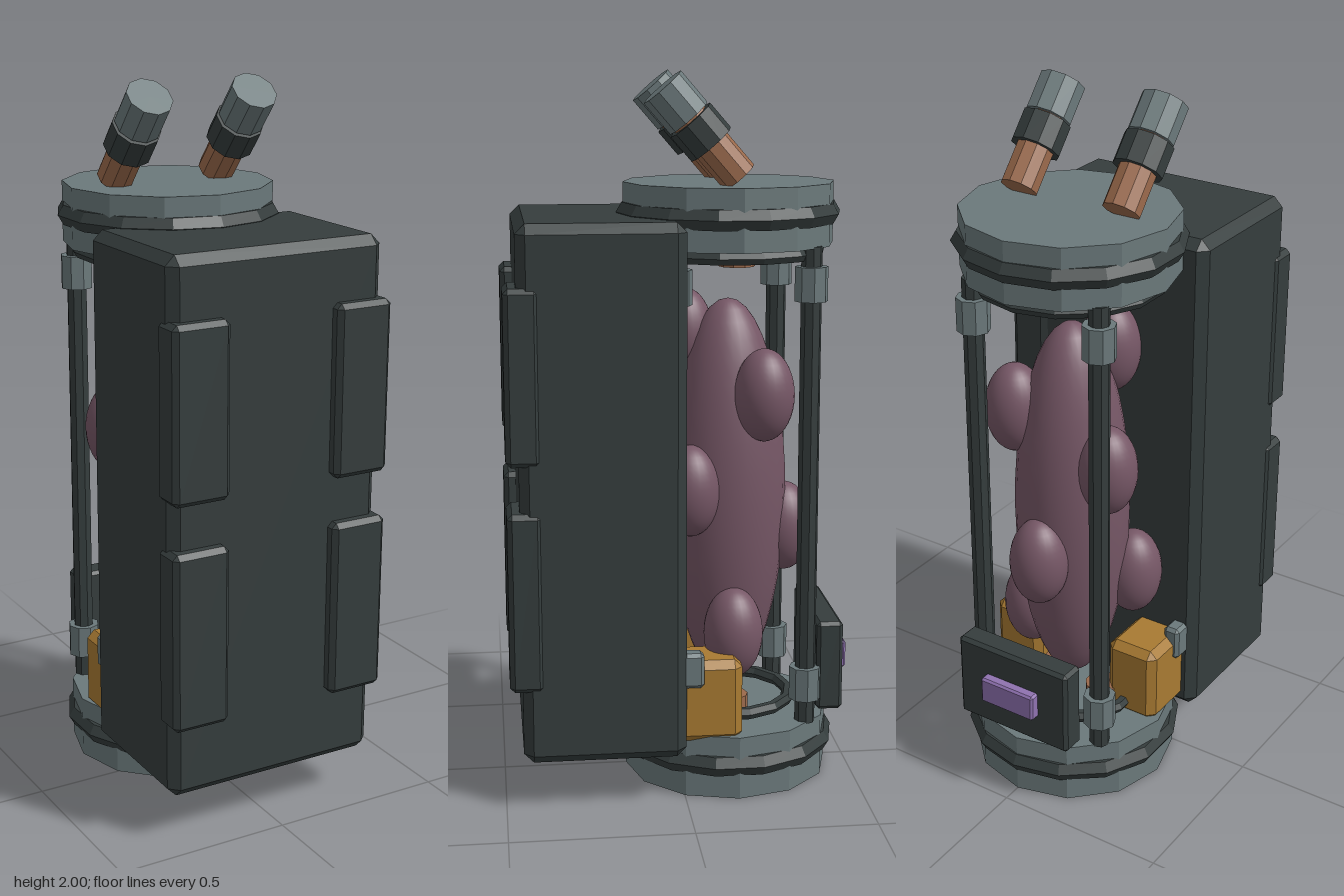
import * as THREE from 'three';
import { ConvexGeometry } from 'three/addons/geometries/ConvexGeometry.js';

const mat = (name, color) => {
  const m = new THREE.MeshStandardMaterial({ color });
  m.name = name;
  return m;
};

// Facet normals for the low-poly parts
const flat = (g) => {
  const f = g.index ? g.toNonIndexed() : g;
  f.computeVertexNormals();
  return f;
};

// Box with every edge chamfered by c
function chamferBox(w, h, d, c) {
  const pts = [];
  const half = [w / 2, h / 2, d / 2];
  for (const sx of [-1, 1]) for (const sy of [-1, 1]) for (const sz of [-1, 1])
    for (let k = 0; k < 3; k++) {
      const p = half.map((v, i) => (i === k ? v : v - c));
      pts.push(new THREE.Vector3(p[0] * sx, p[1] * sy, p[2] * sz));
    }
  return new ConvexGeometry(pts);
}

const cyl = (r, h, n) => flat(new THREE.CylinderGeometry(r, r, h, n));

export function createModel() {
  const model = new THREE.Group();
  model.name = 'specimenTank';
  const dark = mat('darkCasing', 0x353d3d);
  const steel = mat('greySteel', 0x6b797b);
  const copper = mat('copper', 0x9b6a4c);
  const flesh = mat('mauveFlesh', 0x765766);
  const amber = mat('amberBlock', 0xa87a32);
  const violet = mat('violetLight', 0x8f72b0);
  const CZ = -0.15; // tank axis

  const add = (name, geo, material, x, y, z, parent = model) => {
    const m = new THREE.Mesh(geo, material);
    m.name = name;
    m.position.set(x, y, z);
    parent.add(m);
    return m;
  };
  const ring = (name, r, tube, y) => add(name,
    flat(new THREE.TorusGeometry(r, tube, 6, 14).rotateX(Math.PI / 2).rotateY(Math.PI / 2)),
    dark, 0, y, CZ);

  // Tank end caps with their seals
  add('baseCap', cyl(0.295, 0.18, 12), steel, 0, 0.09, CZ);
  add('topCap', cyl(0.295, 0.17, 12), steel, 0, 1.615, CZ);
  ring('baseSeal', 0.282, 0.032, 0.095);
  ring('topSeal', 0.282, 0.032, 1.617);
  ring('innerTopRing', 0.252, 0.019, 1.512);
  ring('innerBaseRing', 0.185, 0.018, 0.208);

  // Large casing and its four front pads
  add('casing', chamferBox(0.64, 1.48, 0.45, 0.027), dark, 0, 0.875, 0.225);
  for (const s of [-1, 1])
    for (const [y, h] of [[1.212, 0.475], [0.597, 0.5]])
      add('casingPad', chamferBox(0.167, h, 0.095, 0.014), dark, s * 0.244, y, 0.437);

  // Four support rods with clamps
  for (let i = 0; i < 4; i++) {
    const a = THREE.MathUtils.degToRad(40 + 90 * i);
    const x = 0.266 * Math.cos(a), z = CZ + 0.266 * Math.sin(a);
    add('rod', cyl(0.029, 1.36, 8), dark, x, 0.855, z);
    for (const y of [0.293, 1.433]) add('rodClamp', cyl(0.046, 0.095, 8), steel, x, y, z);
  }

  // Organic specimen: long body with bulges
  const blob = (name, x, y, z, rx, ry, rz) =>
    add(name, new THREE.SphereGeometry(1, 28, 20), flesh, x, y, CZ + z).scale.set(rx, ry, rz);
  blob('specimenBody', 0, 0.815, 0, 0.16, 0.56, 0.168);
  const bulges = [
    [0.13, 1.12, -0.085], [0.145, 0.44, 0], [0, 0.71, -0.165], [0.12, 0.85, 0.12],
    [-0.15, 0.99, -0.05], [-0.05, 1.27, 0.12], [-0.14, 0.59, 0.1],
  ];
  for (const [x, y, z] of bulges) blob('specimenBulge', x, y, z, 0.084, 0.13, 0.084);

  for (const s of [-1, 1]) {
    // Amber side blocks with steel clips
    add('amberBlock', chamferBox(0.16, 0.235, 0.2, 0.022), amber, s * 0.2, 0.282, -0.06);
    add('blockClip', chamferBox(0.05, 0.1, 0.08, 0.01), steel, s * 0.27, 0.38, -0.01);

    // Copper feeds inside the tank
    add('topFeed', cyl(0.05, 0.07, 10), copper, s * 0.16, 1.518, CZ);
    add('baseFeed', cyl(0.05, 0.07, 10), copper, s * 0.1, 0.205, CZ);

    // Slanted pipe: copper tube, dark collar, steel end
    const pipe = new THREE.Group();
    pipe.name = 'slantedPipe';
    pipe.position.set(s * 0.16, 1.72, -0.155);
    pipe.rotation.x = THREE.MathUtils.degToRad(41);
    model.add(pipe);
    add('pipeTube', cyl(0.052, 0.26, 10), copper, 0, 0.13, 0, pipe);
    add('pipeCollar', cyl(0.069, 0.085, 10), dark, 0, 0.158, 0, pipe);
    add('pipeEnd', cyl(0.065, 0.107, 10), steel, 0, 0.2605, 0, pipe);
  }

  // Rear control box with light
  add('controlBox', chamferBox(0.37, 0.26, 0.075, 0.01), dark, 0, 0.34, -0.423);
  add('controlLight', chamferBox(0.178, 0.08, 0.04, 0.006), violet, 0, 0.34, -0.469);

  return model;
}
